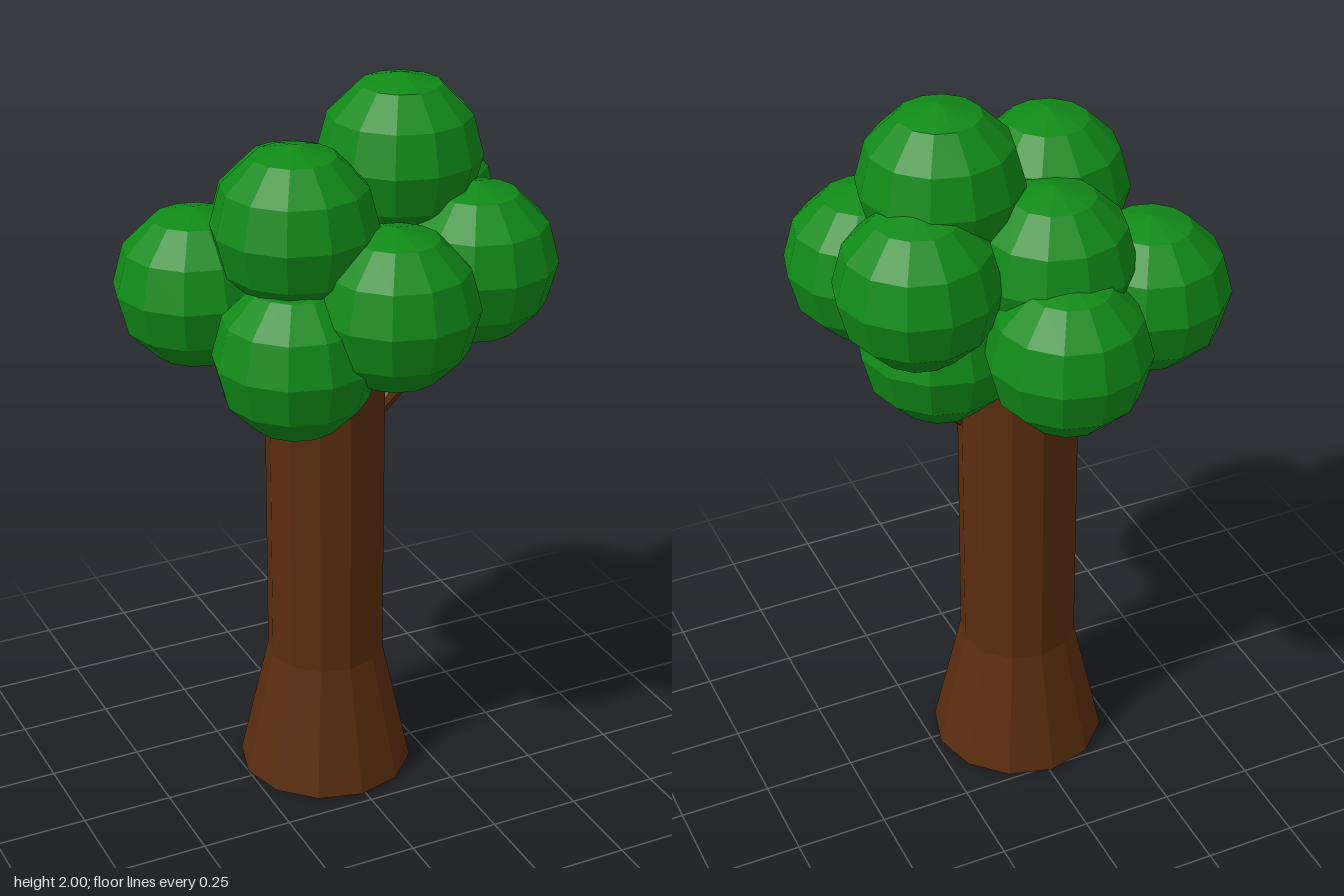
import * as THREE from 'three';

const bark = new THREE.MeshStandardMaterial({ color: 0x5a2d0f, flatShading: true });
const leaf = new THREE.MeshStandardMaterial({ color: 0x118a18, flatShading: true });

function add(parent, name, geometry, material, x, y, z) {
  const mesh = new THREE.Mesh(geometry, material);
  mesh.name = name;
  mesh.position.set(x, y, z);
  parent.add(mesh);
  return mesh;
}

// Tapered cylinder between two points
function addBranch(parent, name, from, to, r0, r1) {
  const a = new THREE.Vector3(...from), b = new THREE.Vector3(...to);
  const dir = b.clone().sub(a);
  const mid = a.clone().add(b).multiplyScalar(0.5);
  const mesh = add(parent, name, new THREE.CylinderGeometry(r1, r0, dir.length(), 8), bark, mid.x, mid.y, mid.z);
  mesh.quaternion.setFromUnitVectors(new THREE.Vector3(0, 1, 0), dir.normalize());
}

export function createModel() {
  const tree = new THREE.Group();
  tree.name = 'tree';

  // Straight trunk on a flared base
  const tx = -0.01, tz = -0.025, flare = 0.36, top = 1.4;
  add(tree, 'trunkBase', new THREE.CylinderGeometry(0.16, 0.24, flare, 12), bark, tx, flare / 2, tz);
  add(tree, 'trunk', new THREE.CylinderGeometry(0.16, 0.16, top - flare, 12), bark, tx, (top + flare) / 2, tz);

  // Short branches reaching up into the leaves
  addBranch(tree, 'leftBranch', [0.1, 1.05, 0.015], [0.27, 1.2, 0.015], 0.024, 0.02);
  addBranch(tree, 'rightBranch', [-0.12, 1.05, -0.01], [-0.28, 1.24, -0.01], 0.024, 0.02);

  // Crown of round leaf clumps
  const crown = new THREE.Group();
  crown.name = 'crown';
  tree.add(crown);
  const clump = new THREE.SphereGeometry(0.214, 12, 6);
  const centres = [
    [0.175, 1.786, 0.03],
    [-0.155, 1.668, 0.108],
    [-0.323, 1.45, -0.145],
    [-0.033, 1.41, -0.275],
    [-0.06, 1.585, -0.125],
    [0.295, 1.59, -0.1],
    [0.321, 1.523, 0.177],
    [0.048, 1.475, 0.27],
    [-0.183, 1.345, 0.17],
    [0.2, 1.35, -0.005],
  ];
  centres.forEach((c, i) => add(crown, `leafClump${i + 1}`, clump, leaf, ...c));

  return tree;
}
